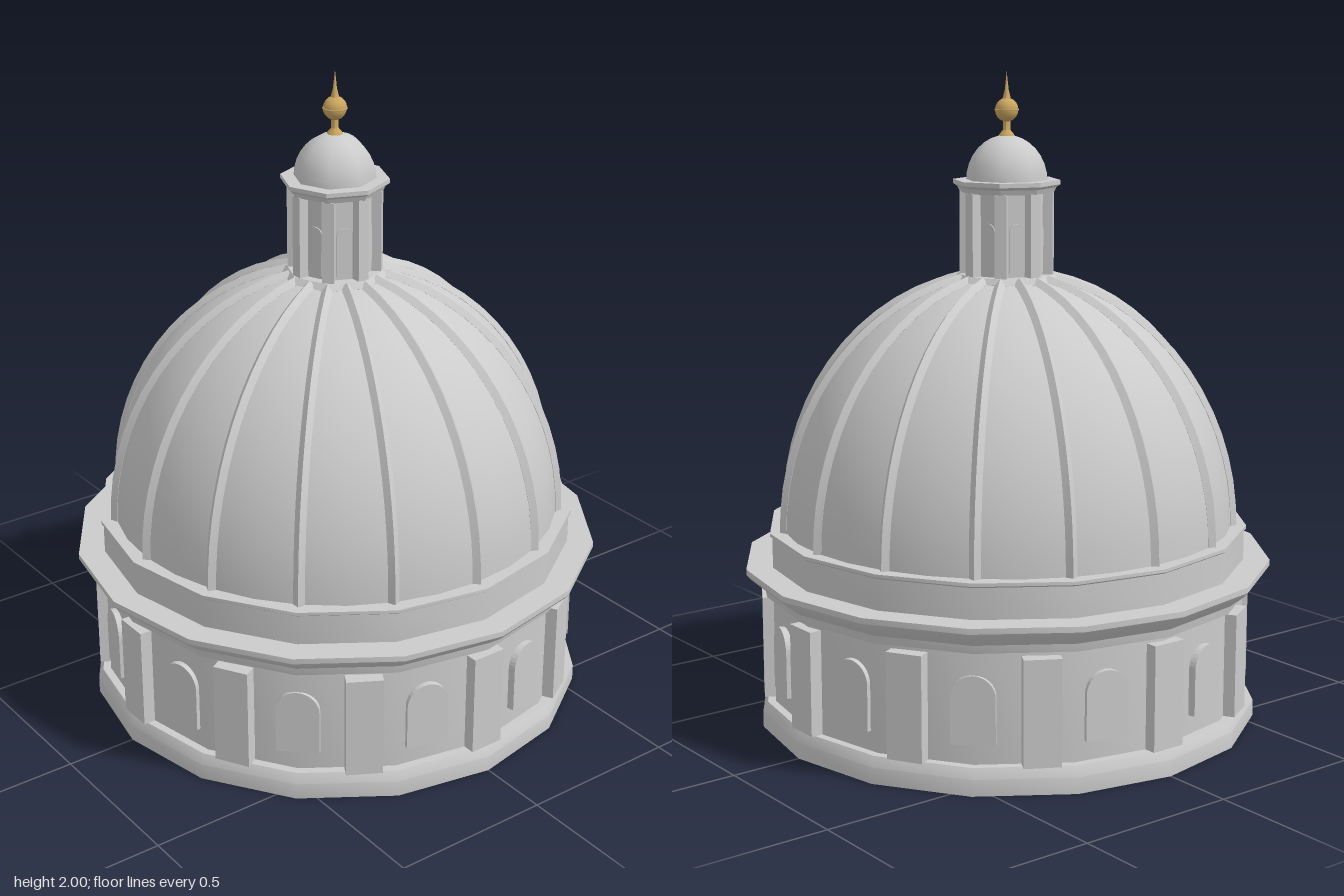
import * as THREE from 'three';
import { toCreasedNormals } from 'three/addons/utils/BufferGeometryUtils.js';

const grey = new THREE.MeshStandardMaterial({ color: 0xcccccc });
const gold = new THREE.MeshStandardMaterial({ color: 0xc9a560 });

// Turned part from [radius, height] pairs, listed bottom to top
function turned(name, profile, sides, material = grey, crease = 0.5) {
  const points = profile.map(([r, y]) => new THREE.Vector2(r, y));
  const geometry = toCreasedNormals(new THREE.LatheGeometry(points, sides), crease);
  const mesh = new THREE.Mesh(geometry, material);
  mesh.name = name;
  return mesh;
}

// Copies of one geometry around the vertical axis, each facing outwards
function ring(name, geometry, count, radius, y, offset = 0) {
  const group = new THREE.Group();
  group.name = name + 's';
  for (let i = 0; i < count; i++) {
    const a = ((i + offset) / count) * Math.PI * 2;
    const mesh = new THREE.Mesh(geometry, grey);
    mesh.name = name;
    mesh.position.set(Math.sin(a) * radius, y, Math.cos(a) * radius);
    mesh.rotation.y = a;
    group.add(mesh);
  }
  return group;
}

// Round-headed panel standing on y = 0
function archPanel(width, height, depth) {
  const r = width / 2;
  const shape = new THREE.Shape();
  shape.moveTo(-r, 0);
  shape.lineTo(r, 0);
  shape.lineTo(r, height - r);
  shape.absarc(0, height - r, r, 0, Math.PI, false);
  shape.closePath();
  return new THREE.ExtrudeGeometry(shape, { depth, bevelEnabled: false, curveSegments: 8 });
}

export function createModel() {
  const model = new THREE.Group();
  model.name = 'dome';

  // Drum
  model.add(turned('plinth', [[0, 0], [0.78, 0], [0.78, 0.05], [0.765, 0.08], [0.7, 0.08]], 16));
  model.add(turned('drumWall', [[0.74, 0.07], [0.74, 0.42]], 16));
  model.add(ring('pilaster', new THREE.BoxGeometry(0.11, 0.32, 0.05), 12, 0.742, 0.24));
  model.add(ring('window', archPanel(0.13, 0.205, 0.03), 12, 0.715, 0.14, 0.5));

  // Cornice and the attic band above it
  model.add(turned('cornice', [
    [0.7, 0.4], [0.76, 0.415], [0.765, 0.44], [0.81, 0.475],
    [0.822, 0.49], [0.822, 0.507], [0.7, 0.507],
  ], 16));
  model.add(turned('attic', [[0.74, 0.5], [0.74, 0.6], [0.747, 0.605], [0.747, 0.615], [0.6, 0.615]], 16));

  // Dome shell
  const baseY = 0.61, domeR = 0.7, domeH = 0.78;
  const onDome = (t) => [domeR * Math.cos(t), baseY + domeH * Math.sin(t)];
  const shell = [];
  for (let i = 0; i <= 16; i++) shell.push(onDome((i / 16) * Math.PI / 2));
  model.add(turned('domeShell', shell, 32));

  // Ribs along the shell
  const ribPoints = [];
  for (let i = 0; i <= 10; i++) {
    const [r, y] = onDome((i / 10) * 1.37);
    ribPoints.push(new THREE.Vector3(0, y, r));
  }
  const ribPath = new THREE.CatmullRomCurve3(ribPoints);
  const rib = toCreasedNormals(new THREE.TubeGeometry(ribPath, 14, 0.017, 4), 0.5);
  model.add(ring('rib', rib, 16, 0, 0));

  // Lantern
  model.add(turned('lanternBase', [[0.1, 1.345], [0.155, 1.355], [0.165, 1.37], [0.15, 1.388], [0.05, 1.388]], 8));
  model.add(turned('lanternWall', [[0.12, 1.38], [0.12, 1.65]], 8));
  model.add(ring('lanternPilaster', new THREE.BoxGeometry(0.036, 0.26, 0.036), 8, 0.125, 1.51));
  model.add(ring('lanternWindow', archPanel(0.046, 0.15, 0.015), 8, 0.1, 1.4, 0.5));
  model.add(turned('lanternCornice', [
    [0.1, 1.635], [0.145, 1.638], [0.152, 1.653], [0.165, 1.662], [0.165, 1.675], [0.05, 1.675],
  ], 8));

  // Cupola
  const cupola = [];
  for (let i = 0; i <= 8; i++) {
    const t = (i / 8) * Math.PI / 2;
    cupola.push([0.125 * Math.cos(t), 1.67 + 0.14 * Math.sin(t)]);
  }
  model.add(turned('cupola', cupola, 8, grey, 0.9));

  // Finial
  model.add(turned('finialStem', [[0.028, 1.8], [0.02, 1.815], [0.011, 1.825], [0.011, 1.86]], 8, gold, 0.9));
  const ball = new THREE.Mesh(new THREE.SphereGeometry(0.036, 12, 10), gold);
  ball.name = 'finialBall';
  ball.position.y = 1.885;
  model.add(ball);
  const band = new THREE.Mesh(new THREE.TorusGeometry(0.035, 0.003, 6, 16), gold);
  band.name = 'finialBand';
  band.position.y = 1.885;
  band.rotation.x = Math.PI / 2;
  model.add(band);
  model.add(turned('finialSpike', [[0.014, 1.912], [0.011, 1.925], [0.006, 1.945], [0, 2]], 8, gold, 0.9));

  return model;
}
